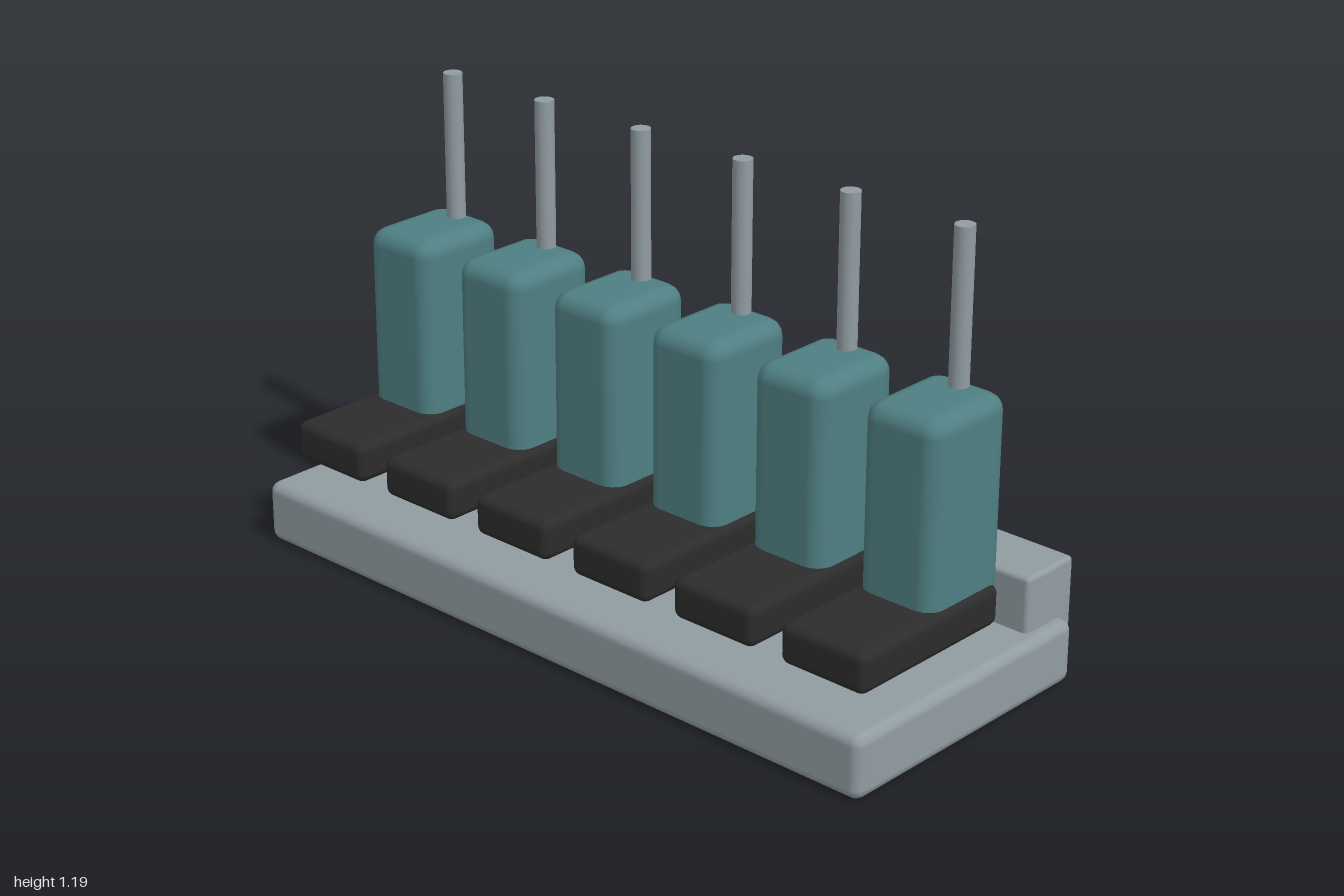
import * as THREE from 'three';
import { RoundedBoxGeometry } from 'three/addons/geometries/RoundedBoxGeometry.js';

const material = (name, color) => Object.assign(new THREE.MeshStandardMaterial({ color }), { name });

// Rounded box given by its y and z extents, centred on x = 0
function block(name, width, [y0, y1], [z0, z1], radius, mat) {
  const mesh = new THREE.Mesh(new RoundedBoxGeometry(width, y1 - y0, z1 - z0, 2, radius), mat);
  mesh.position.set(0, (y0 + y1) / 2, (z0 + z1) / 2);
  mesh.name = name;
  return mesh;
}

export function createModel() {
  const grey = material('grey metal', 0x919ca2);
  const teal = material('teal padding', 0x4f7f83);
  const black = material('black cushion', 0x2c2c2c);

  const model = new THREE.Group();
  model.name = 'seatRow';

  // Base platform and the rail along its rear edge
  model.add(block('base', 2, [0, 0.165], [-0.383, 0.417], 0.028, grey));
  model.add(block('rearRail', 1.93, [0.105, 0.31], [-0.417, -0.24], 0.013, grey));

  // Six identical seats, each carried by a tall post
  for (let i = 0; i < 6; i++) {
    const seat = new THREE.Group();
    seat.name = `seat${i + 1}`;
    seat.position.x = (i - 2.5) * 0.331;
    seat.add(block('cushion', 0.25, [0.223, 0.33], [-0.147, 0.35], 0.024, black));
    seat.add(block('backrest', 0.22, [0.25, 0.8], [-0.174, 0.099], 0.045, teal));

    const post = new THREE.Mesh(new THREE.CylinderGeometry(0.025, 0.025, 1.04, 16), grey);
    post.name = 'post';
    post.position.set(0, 0.67, -0.12);
    seat.add(post);
    model.add(seat);
  }
  return model;
}
